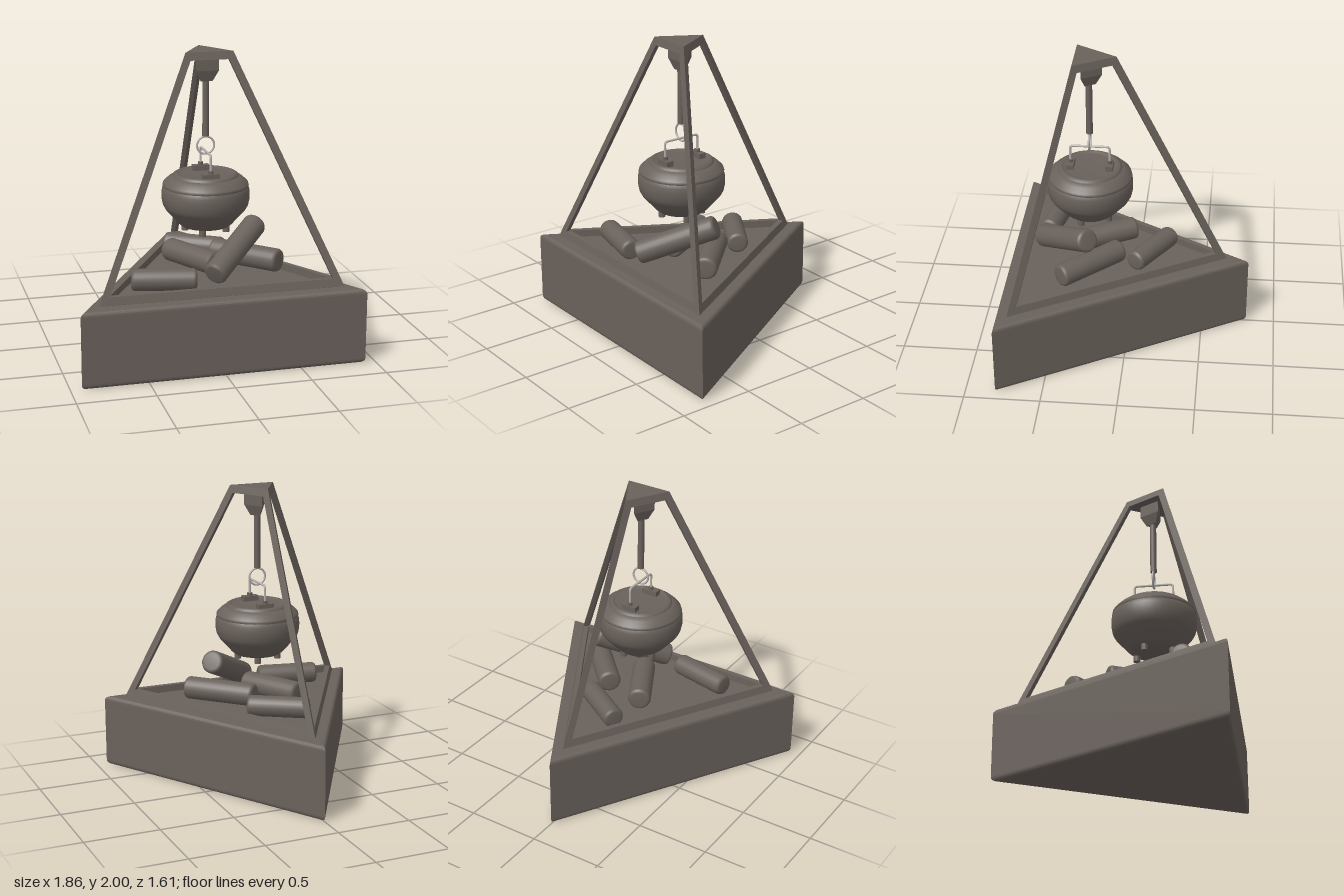
import * as THREE from 'three';

const CZ = 0.267; // z of the central axis
const V3 = (x, y, z) => new THREE.Vector3(x, y, z);
const iron = new THREE.MeshStandardMaterial({ color: 0x69615b });
iron.name = 'weathered iron';
const steel = new THREE.MeshStandardMaterial({ color: 0xb4b1ac });
steel.name = 'bright steel';

export function createModel() {
  const model = new THREE.Group();

  const add = (name, geometry, x = 0, y = 0, z = CZ, material = iron) => {
    const mesh = new THREE.Mesh(geometry, material);
    mesh.name = name;
    mesh.position.set(x, y, z);
    model.add(mesh);
    return mesh;
  };
  const flat = (geometry) => {
    const g = geometry.toNonIndexed();
    g.computeVertexNormals();
    return g;
  };
  const lathe = (points, segments) =>
    new THREE.LatheGeometry(points.map(([r, y]) => new THREE.Vector2(r, y)), segments);
  // Three-sided solid with one flat side facing the front; r is the corner radius
  const triangular = (points) =>
    flat(new THREE.LatheGeometry(points.map(([r, y]) => new THREE.Vector2(r, y)), 3, Math.PI / 3));

  // Triangular base with softened edges
  const bevel = [0, 1, 2, 3, 4].map((i) => {
    const a = (i / 4) * Math.PI / 2;
    return [1.074 - 0.045 * (1 - Math.sin(a)), 0.03 * (1 - Math.cos(a))];
  });
  add('base', triangular([
    [0, 0], ...bevel, ...[...bevel].reverse().map(([r, y]) => [r, 0.5 - y]), [0, 0.5],
  ]));
  add('floorPlate', triangular([[0.88, 0.495], [0.88, 0.512], [0, 0.512]]));

  // Rim at the foot of the frame and plate at its top
  add('frameRim', triangular([
    [0.845, 0.51], [0.924, 0.51], [0.899, 0.56], [0.83, 0.56], [0.83, 0.51],
  ]));
  add('topPlate', triangular([[0, 1.95], [0.205, 1.95], [0.18, 2.0], [0, 2.0]]));

  // Three kite-section legs leaning inwards
  const section = (R, y) => [V3(0, y, R), V3(0.026, y, R - 0.045), V3(0, y, R - 0.06), V3(-0.026, y, R - 0.045)];
  const low = section(0.924, 0.51), high = section(0.18, 2.0);
  const corners = [];
  for (let i = 0; i < 4; i++) {
    const j = (i + 1) % 4;
    corners.push(low[i], low[j], high[i], low[j], high[j], high[i]);
  }
  const legGeometry = new THREE.BufferGeometry().setFromPoints(corners);
  legGeometry.computeVertexNormals();
  ['leftLeg', 'backLeg', 'rightLeg'].forEach((name, i) => {
    add(name, legGeometry).rotation.y = Math.PI / 3 + (i * 2 * Math.PI) / 3;
  });

  // Hanger block, rod and ring
  add('hangerBlock', triangular([[0, 1.8], [0.045, 1.8], [0.0866, 1.87], [0.0866, 1.96], [0, 1.96]]));
  add('hangerRod', new THREE.CylinderGeometry(0.022, 0.022, 0.37, 16), 0, 1.625);
  add('hangerRing', new THREE.TorusGeometry(0.057, 0.007, 10, 32), 0, 1.38, CZ, steel);

  // Bail handle with rounded upper corners
  const bail = new THREE.CurvePath();
  const h = 0.13, top = 1.34, c = 0.02;
  bail.add(new THREE.LineCurve3(V3(0, 1.19, -h), V3(0, top - c, -h)));
  bail.add(new THREE.QuadraticBezierCurve3(V3(0, top - c, -h), V3(0, top, -h), V3(0, top, c - h)));
  bail.add(new THREE.LineCurve3(V3(0, top, c - h), V3(0, top, h - c)));
  bail.add(new THREE.QuadraticBezierCurve3(V3(0, top, h - c), V3(0, top, h), V3(0, top - c, h)));
  bail.add(new THREE.LineCurve3(V3(0, top - c, h), V3(0, 1.19, h)));
  add('bailHandle', new THREE.TubeGeometry(bail, 80, 0.008, 8), 0, 0, CZ, steel);
  for (const side of [-1, 1]) {
    add('handleLug', new THREE.BoxGeometry(0.11, 0.04, 0.05), 0, 1.2, CZ + side * h);
    add('handleSocket', new THREE.CylinderGeometry(0.018, 0.018, 0.04, 12), 0, 1.22, CZ + side * h);
  }

  // Pot: rounded body, stepped shoulder and lid
  add('potBody', lathe([
    [0, 0.845], [0.13, 0.845], [0.155, 0.85], [0.178, 0.868], [0.26, 0.96], [0.277, 0.99],
    [0.285, 1.03], [0.286, 1.06], [0.284, 1.09], [0.276, 1.115], [0.265, 1.125],
  ], 40));
  add('potShoulder', lathe([
    [0.272, 1.105], [0.28, 1.12], [0.276, 1.135], [0.245, 1.165], [0.22, 1.18], [0.19, 1.185],
  ], 40));
  add('potLid', lathe([
    [0.215, 1.17], [0.212, 1.19], [0.195, 1.2], [0.18, 1.198], [0.165, 1.185], [0, 1.185],
  ], 40));
  for (let i = 0; i < 4; i++) {
    const a = Math.PI / 8 + (i * Math.PI) / 2;
    add('potFoot', new THREE.CylinderGeometry(0.023, 0.023, 0.05, 12),
      0.135 * Math.cos(a), 0.833, CZ + 0.135 * Math.sin(a));
  }

  // Logs, each a cylinder with rounded ends laid between two points
  const log = (name, from, to, r) => {
    const half = from.distanceTo(to) / 2;
    const b = 0.022, k = 0.3 * b;
    const mesh = add(name, lathe([
      [0, -half], [r - b, -half], [r - k, k - half], [r, b - half],
      [r, half - b], [r - k, half - k], [r - b, half], [0, half],
    ], 24));
    mesh.position.copy(from).add(to).multiplyScalar(0.5);
    mesh.quaternion.setFromUnitVectors(V3(0, 1, 0), to.clone().sub(from).normalize());
  };
  log('frontLog', V3(-0.546, 0.585, 0.489), V3(-0.137, 0.585, 0.577), 0.071);
  log('backLog', V3(-0.142, 0.585, -0.267), V3(0.206, 0.585, -0.045), 0.07);
  log('sideLog', V3(0.11, 0.613, 0.06), V3(0.458, 0.613, 0.424), 0.077);
  log('middleLog', V3(-0.178, 0.613, -0.02), V3(0.035, 0.613, 0.38), 0.077);
  log('leaningLog', V3(-0.03, 0.61, 0.6), V3(0.348, 0.828, 0.245), 0.078);

  return model;
}
